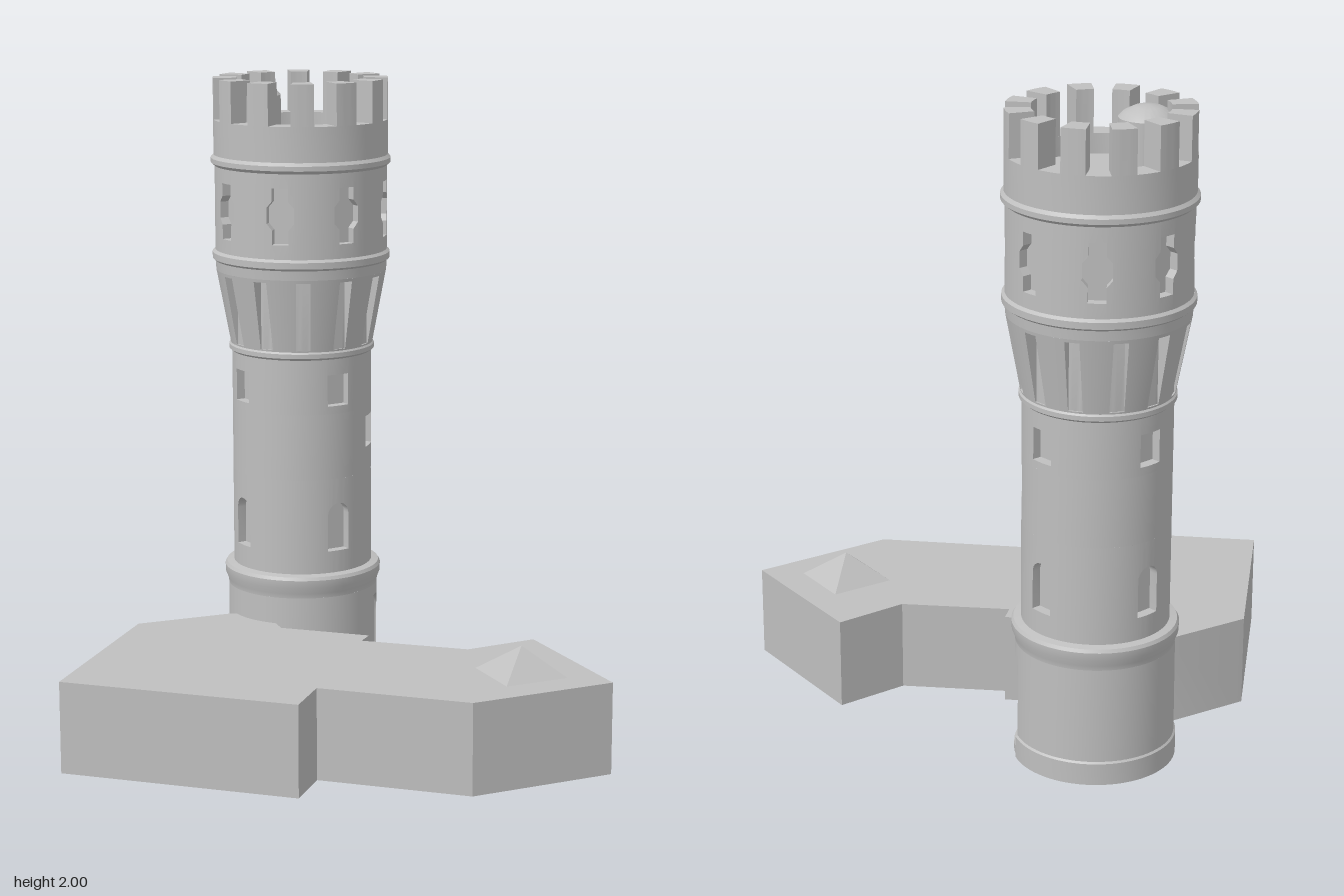
import * as THREE from 'three';
import { toCreasedNormals } from 'three/addons/utils/BufferGeometryUtils.js';

const stone = new THREE.MeshStandardMaterial({ color: 0xbfbfbf });
stone.name = 'stone';
const V = (x, y) => new THREE.Vector2(x, y);
const TAU = Math.PI * 2;

function add(parent, name, geometry) {
  const mesh = new THREE.Mesh(toCreasedNormals(geometry, 0.5), stone);
  mesh.name = name;
  parent.add(mesh);
  return mesh;
}

function lathe(parent, name, points, start = 0, length = TAU) {
  return add(parent, name, new THREE.LatheGeometry(points.map(p => V(...p)), 72, start, length));
}

// Round (or tapered) wall with flat-backed niches at the given angles.
// outline: columns [u, low, high] running left to right across one niche.
function nicheWall(parent, name, [r0, y0], [r1, y1], angles, outline, backRadius) {
  const pos = [];
  const radius = y => r0 + (r1 - r0) * (y - y0) / (y1 - y0);
  const quad = (a, b, c, d) => pos.push(...a, ...b, ...c, ...a, ...c, ...d);
  const half = outline[outline.length - 1][0];
  angles.forEach((angle, i) => {
    const s = Math.sin(angle), c = Math.cos(angle);
    const at = (u, d, y) => [s * d + c * u, y, c * d - s * u];
    const outer = (u, y) => at(u, Math.sqrt(radius(y) ** 2 - u * u), y);
    const back = (u, y) => at(u, backRadius, y);
    for (let k = 0; k + 1 < outline.length; k++) {
      const [ua, la, ha] = outline[k], [ub, lb, hb] = outline[k + 1];
      if (ub - ua > 1e-6) {
        quad(outer(ua, y0), outer(ub, y0), outer(ub, lb), outer(ua, la));
        quad(outer(ua, ha), outer(ub, hb), outer(ub, y1), outer(ua, y1));
        quad(back(ua, la), back(ub, lb), back(ub, hb), back(ua, ha));
      }
      quad(outer(ua, la), outer(ub, lb), back(ub, lb), back(ua, la));
      quad(back(ua, ha), back(ub, hb), outer(ub, hb), outer(ua, ha));
    }
    // plain wall on to the next niche
    const next = i + 1 < angles.length ? angles[i + 1] : angles[0] + TAU;
    const steps = Math.ceil((next - angle) / 0.09);
    const arc = (t, y) => {
      const e = Math.asin(half / radius(y));
      const a = angle + e + (next - angle - 2 * e) * t;
      return [Math.sin(a) * radius(y), y, Math.cos(a) * radius(y)];
    };
    for (let k = 0; k < steps; k++) {
      const a = k / steps, b = (k + 1) / steps;
      quad(arc(a, y0), arc(b, y0), arc(b, y1), arc(a, y1));
    }
  });
  const g = new THREE.BufferGeometry();
  g.setAttribute('position', new THREE.Float32BufferAttribute(pos, 3));
  return add(parent, name, g);
}

// Niche outlines
const closed = (w, mid, columns) => [[-w, mid, mid], ...columns, [w, mid, mid]];
const rect = (w, lo, hi) => closed(w, lo, [-1, -0.5, 0, 0.5, 1].map(t => [t * w, lo, hi]));
function arch(w, lo, spring) {
  const columns = [];
  for (let k = 0; k <= 12; k++) {
    const a = Math.PI * k / 12;
    columns.push([-w * Math.cos(a), lo, spring + w * Math.sin(a)]);
  }
  return closed(w, lo, columns);
}
const loop = (x, z) => closed(x, 1.595, [
  [-x, 1.57, 1.62], [-z, 1.55, 1.64], [-z, 1.505, 1.68], [0, 1.505, 1.68],
  [z, 1.505, 1.68], [z, 1.55, 1.64], [x, 1.57, 1.62],
]);
const around = (n, offset) => Array.from({ length: n }, (_, k) => offset + TAU * k / n);

function buildTower() {
  const tower = new THREE.Group();
  tower.name = 'tower';
  const diagonals = around(4, Math.PI / 4);
  const side = [Math.PI / 2];

  // base with doorway
  lathe(tower, 'baseUnderside', [[0, 0], [0.242, 0]]);
  lathe(tower, 'foot', [[0.24, 0], [0.247, 0], [0.247, 0.068], [0.24, 0.075]], Math.PI / 2 + 0.33, TAU - 0.66);
  nicheWall(tower, 'baseWall', [0.242, 0], [0.24, 0.37], side, arch(0.08, 0.025, 0.255), 0.222);
  lathe(tower, 'baseCollar', [[0.24, 0.37], [0.242, 0.385], [0.25, 0.405], [0.251, 0.43], [0.245, 0.44], [0.22, 0.445]]);

  // shaft with windows
  nicheWall(tower, 'lowerShaft', [0.222, 0.44], [0.222, 0.75], diagonals, arch(0.038, 0.515, 0.632), 0.19);
  nicheWall(tower, 'middleShaft', [0.222, 0.75], [0.222, 0.96], side, rect(0.04, 0.83, 0.93), 0.195);
  nicheWall(tower, 'upperShaft', [0.222, 0.96], [0.222, 1.14], diagonals, rect(0.038, 0.985, 1.085), 0.19);
  lathe(tower, 'shaftRing', [[0.222, 1.135], [0.231, 1.142], [0.231, 1.156], [0.225, 1.163]]);

  // flared corbels with slots
  nicheWall(tower, 'corbels', [0.226, 1.16], [0.27, 1.395], around(12, Math.PI / 12), rect(0.022, 1.167, 1.385), 0.222);
  lathe(tower, 'lowerDrumRing', [[0.27, 1.395], [0.272, 1.425], [0.281, 1.432], [0.281, 1.452], [0.272, 1.46]]);

  // drum with shaped openings
  nicheWall(tower, 'drum', [0.272, 1.46], [0.272, 1.735], around(8, 0), loop(0.043, 0.026), 0.24);
  lathe(tower, 'upperDrumRing', [[0.272, 1.725], [0.284, 1.735], [0.284, 1.75], [0.275, 1.76]]);

  // parapet, roof floor and battlements
  lathe(tower, 'parapet', [[0.275, 1.755], [0.275, 1.87], [0.2, 1.87], [0.2, 1.81], [0, 1.81]]);
  const h = Math.PI / 24;
  const merlon = new THREE.Shape();
  merlon.absarc(0, 0, 0.275, -h, h, false);
  merlon.absarc(0, 0, 0.2, h, -h, true);
  merlon.closePath();
  const merlonGeometry = new THREE.ExtrudeGeometry(merlon, { depth: 0.13, bevelEnabled: false, curveSegments: 4 });
  merlonGeometry.rotateX(-Math.PI / 2).translate(0, 1.87, 0);
  around(12, Math.PI / 12).forEach(a => { add(tower, 'merlon', merlonGeometry).rotation.y = a; });

  // small domed stair turret on the roof
  lathe(tower, 'stairTurret', [[0.085, 1.81], [0.085, 1.95], [0.07, 1.965], [0.04, 1.98], [0, 1.985]])
    .position.set(-0.13, 0, 0.085);

  tower.position.set(-0.298, 0, -0.378);
  return tower;
}

export function createModel() {
  const model = new THREE.Group();
  model.name = 'towerAndHall';
  model.add(buildTower());

  // adjoining hall, extruded from its plan (x, z)
  const plan = [
    [-0.755, -0.04], [-0.5, -0.215], [-0.4, -0.25], [-0.3, -0.093], [-0.01, -0.07], [-0.02, -0.01], [0.32, 0.01],
    [0.5, -0.14], [0.8, 0.25], [0.43, 0.53], [-0.045, 0.49], [-0.06, 0.655], [-0.805, 0.595],
  ];
  const hall = new THREE.ExtrudeGeometry(new THREE.Shape(plan.map(([x, z]) => V(x, -z))), { depth: 0.285, bevelEnabled: false });
  add(model, 'hall', hall.rotateX(-Math.PI / 2));

  // pyramid roof light
  const pyramid = add(model, 'pyramidRoof', new THREE.ConeGeometry(0.144, 0.085, 4));
  pyramid.position.set(0.519, 0.3275, 0.213);
  pyramid.rotation.y = -0.14;
  return model;
}
